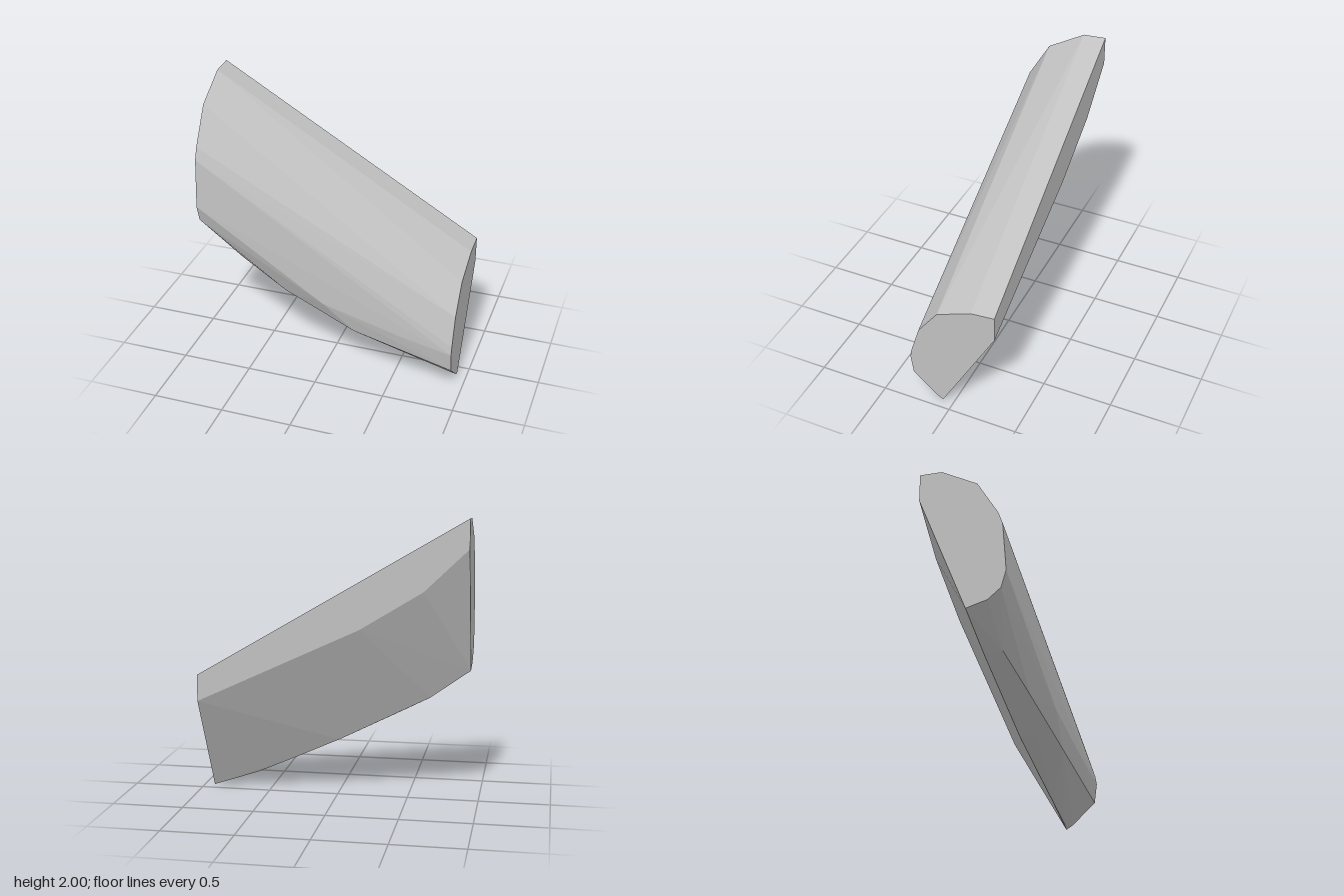
import * as THREE from 'three';
import { ConvexGeometry } from 'three/addons/geometries/ConvexGeometry.js';

// Faceted, slanted wedge: two end sections joined over a bowed underside.
export function createModel() {
  const group = new THREE.Group();
  group.name = 'slantedWedge';
  const grey = new THREE.MeshStandardMaterial({ color: 0xc0c0c0 });
  grey.name = 'plain grey';

  // End sections as [z, y], running from the top back edge round the front
  const highEnd = [
    [-0.32, 2.0], [-0.16, 1.99], [0.1, 1.84], [0.25, 1.585], [0.28, 1.5],
    [0.305, 1.15], [0.27, 1.03], [0.18, 0.96], [0.03, 0.925], [-0.32, 1.8],
  ];
  const lowEnd = [
    [-0.32, 0.9], [-0.15, 0.885], [0.1, 0.785], [0.245, 0.59], [0.31, 0.38],
    [0.32, 0.32], [0.3, 0.18], [0.13, 0.03], [0.08, 0.0], [-0.32, 0.715],
  ];
  const points = [];
  const addSection = (x, section) =>
    section.forEach(([z, y]) => points.push(new THREE.Vector3(x, y, z)));
  addSection(-0.93, highEnd);
  addSection(0.93, lowEnd);

  // Bowed underside, lower edge of the back strip, and the front chine
  const between = [
    [-0.65, 0.72, 0.05], [-0.65, 0.725, 0.18], [-0.5, 0.64, 0.06],
    [-0.3, 0.54, 0.08], [-0.3, 0.55, 0.24], [0, 0.385, 0.06], [0, 0.395, 0.18],
    [0.4, 0.2, 0.08], [0.6, 0.11, 0.09], [0.85, 0.025, 0.09],
    [-0.2, 1.245, -0.32], [-0.63, 1.51, -0.32],
    [0.22, 0.35, 0.29], [0, 0.55, 0.32], [0.55, 0.4, 0.32],
  ];
  between.forEach((p) => points.push(new THREE.Vector3(...p)));

  const body = new THREE.Mesh(new ConvexGeometry(points), grey);
  body.name = 'wedgeBody';
  group.add(body);
  return group;
}
